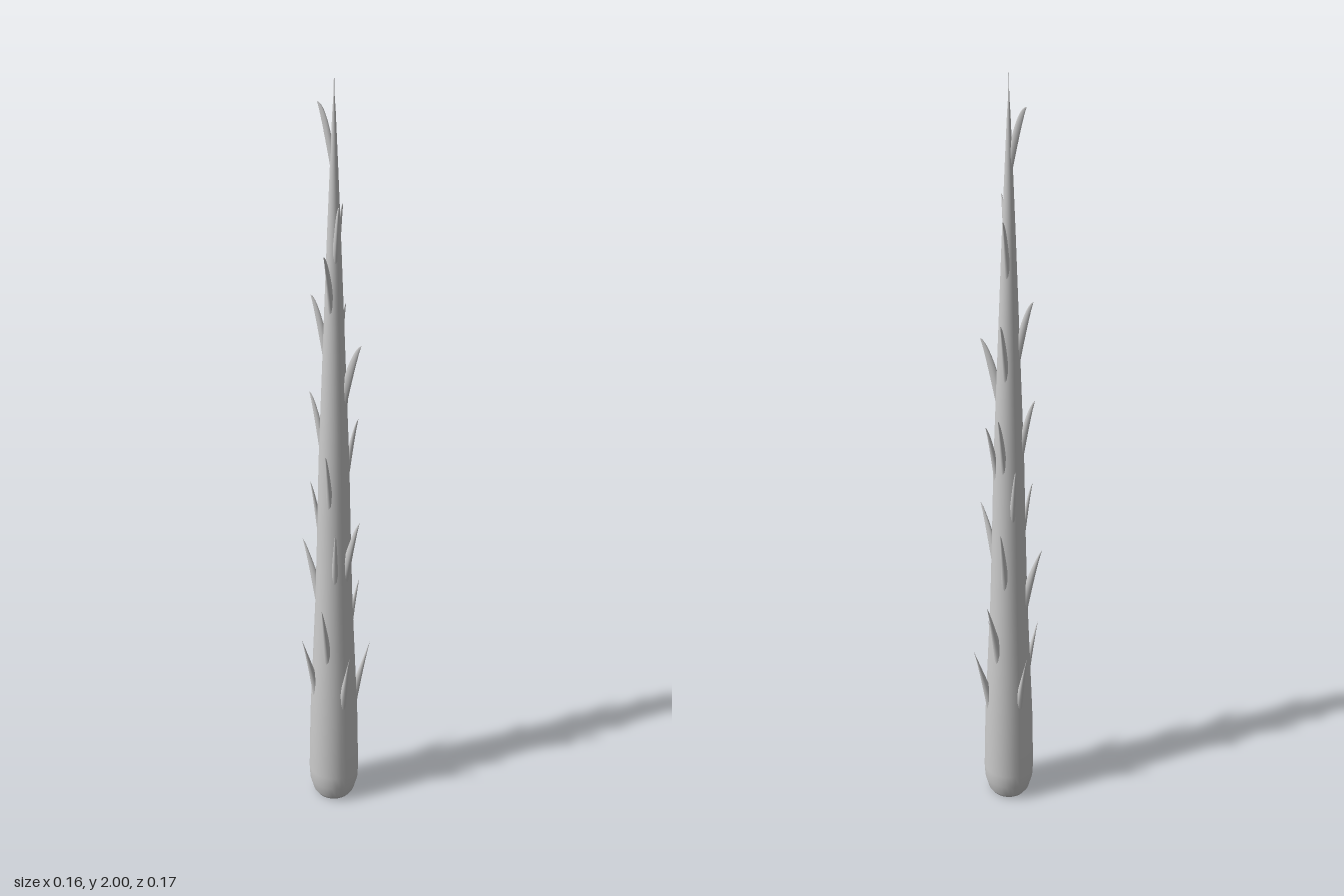
import * as THREE from 'three';

const material = new THREE.MeshStandardMaterial({ color: 0xcccccc });

// Shaft profile as [radius, height]
const profile = [
  [0, 0.005], [0.044, 0], [0.052, 0.012], [0.061, 0.045], [0.063, 0.08], [0.06, 0.25], [0.054, 0.4],
  [0.046, 0.6], [0.041, 0.8], [0.037, 1], [0.03, 1.2], [0.023, 1.4], [0.016, 1.6],
  [0.009, 1.78], [0.004, 1.9], [0.0015, 1.94], [0, 2],
];

// Barb tips as [x, y, z]
const tips = [
  [-0.067, 0.47, -0.058], [-0.055, 0.5, 0.068], [0.073, 0.48, 0.055], [0.073, 0.46, -0.058],
  [0.01, 0.62, 0.086], [0.028, 0.62, -0.085], [-0.084, 0.76, 0.005], [0.08, 0.86, 0.02],
  [-0.005, 0.84, -0.08], [0.035, 0.84, 0.06], [-0.054, 0.94, 0.02], [-0.035, 1.01, -0.053],
  [0.01, 1.05, 0.064], [0.045, 1.11, -0.04], [-0.064, 1.18, 0.003], [0.005, 1.15, -0.066],
  [0.069, 1.33, -0.005], [-0.058, 1.44, 0.006], [0, 1.4, -0.062], [0.002, 1.57, 0.056],
  [0.03, 1.69, 0.035], [-0.003, 1.66, -0.052], [-0.04, 1.92, 0.004],
];

function shaftRadius(y) {
  for (let i = 3; i < profile.length; i++) {
    const [r0, y0] = profile[i - 1], [r1, y1] = profile[i];
    if (y <= y1) return THREE.MathUtils.mapLinear(y, y0, y1, r0, r1);
  }
  return 0;
}

// A hooked fin: lens-shaped sections shrinking from the shaft to the tip
function barbGeometry(reach, tipY) {
  const sides = 10, steps = 7;
  const f = 1 - tipY / 2;
  const notch = 0.08 + 0.09 * f, foot = 0.17 + 0.18 * f;
  const power = THREE.MathUtils.lerp(2.1, 1, Math.min(1, f * 1.3));
  const width = 0.006 + 0.008 * f;
  const root = shaftRadius(tipY - notch) * 0.7;
  const positions = [], index = [];
  for (let i = 0; i <= steps; i++) {
    const t = i / steps;
    const high = tipY - notch * (1 - t) ** power;
    const low = tipY - foot * (1 - t) ** 1.15;
    for (let j = 0; j < sides; j++) {
      const a = (j / sides) * Math.PI * 2;
      positions.push(
        THREE.MathUtils.lerp(root, reach, t),
        (high + low) / 2 + ((high - low) / 2) * Math.cos(a),
        width * (1 - t) ** 0.9 * Math.sin(a),
      );
      if (i < steps) {
        const p = i * sides + j, q = i * sides + ((j + 1) % sides);
        index.push(p, q, p + sides, q, q + sides, p + sides);
      }
    }
  }
  const geometry = new THREE.BufferGeometry();
  geometry.setAttribute('position', new THREE.Float32BufferAttribute(positions, 3));
  geometry.setIndex(index);
  geometry.computeVertexNormals();
  return geometry;
}

export function createModel() {
  const model = new THREE.Group();
  model.name = 'barbedSpear';

  // Tapering shaft with a rounded butt and a needle point
  const points = profile.map(([r, y]) => new THREE.Vector2(r, y));
  const shaft = new THREE.Mesh(new THREE.LatheGeometry(points, 32), material);
  shaft.name = 'shaft';
  model.add(shaft);

  // Barbs spiralling up the shaft
  const barbs = new THREE.Group();
  barbs.name = 'barbs';
  tips.forEach(([x, y, z], i) => {
    const barb = new THREE.Mesh(barbGeometry(Math.hypot(x, z), y), material);
    barb.name = `barb${i + 1}`;
    barb.rotation.y = -Math.atan2(z, x);
    barbs.add(barb);
  });
  model.add(barbs);
  return model;
}
